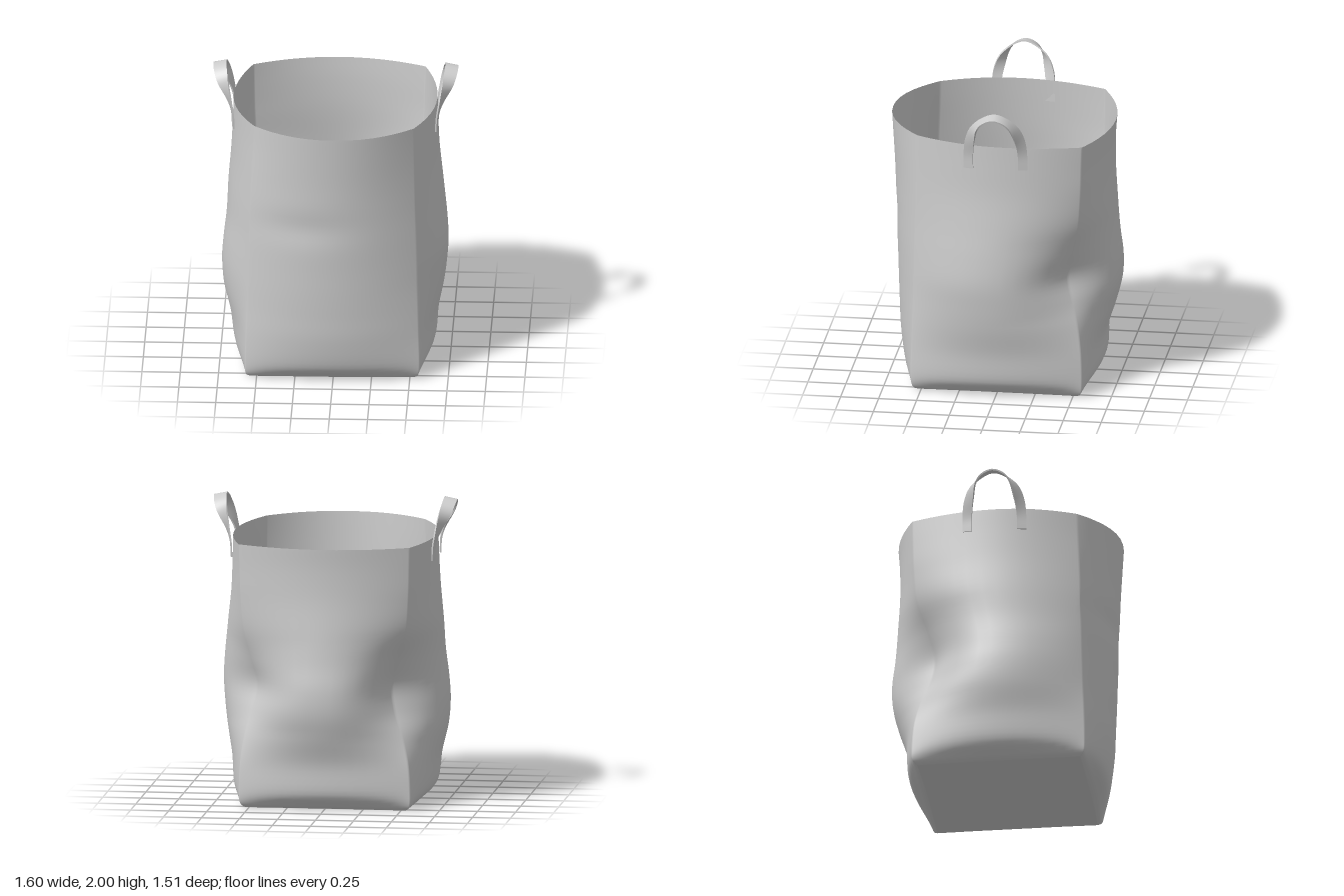
import * as THREE from 'three';
import { toCreasedNormals } from 'three/addons/utils/BufferGeometryUtils.js';

const fabric = new THREE.MeshStandardMaterial({ color: 0xcccccc, side: THREE.DoubleSide });

// Cross-sections, bottom to top: height, distance of the middle of each wall
// (right x, left x, front z, back z) and of each corner
// (+x+z, +x-z, -x-z, -x+z) from the centre. Both back corners are dented.
const SECTIONS = [
  [0.0, 0.52, 0.54, 0.54, 0.52, 0.525, 0.525, 0.53, 0.54],
  [0.03, 0.575, 0.59, 0.59, 0.57, 0.555, 0.555, 0.56, 0.57],
  [0.11, 0.65, 0.66, 0.66, 0.64, 0.565, 0.563, 0.565, 0.575],
  [0.3, 0.67, 0.69, 0.695, 0.655, 0.56, 0.555, 0.55, 0.57],
  [0.48, 0.705, 0.732, 0.705, 0.71, 0.555, 0.53, 0.505, 0.562],
  [0.64, 0.725, 0.743, 0.712, 0.75, 0.55, 0.49, 0.448, 0.557],
  [0.8, 0.735, 0.732, 0.717, 0.755, 0.547, 0.455, 0.425, 0.552],
  [0.98, 0.723, 0.712, 0.724, 0.733, 0.543, 0.492, 0.468, 0.547],
  [1.18, 0.7, 0.703, 0.73, 0.716, 0.537, 0.535, 0.532, 0.542],
  [1.4, 0.675, 0.685, 0.737, 0.7, 0.532, 0.552, 0.552, 0.532],
  [1.6, 0.665, 0.675, 0.748, 0.7, 0.528, 0.558, 0.558, 0.522],
  [1.75, 0.66, 0.67, 0.757, 0.71, 0.525, 0.563, 0.56, 0.517],
];

// Smooth interpolation between neighbouring sections
function sectionAt(s) {
  const last = SECTIONS.length - 1;
  const i = Math.min(Math.floor(s), last - 1), t = s - i;
  const at = (k) => SECTIONS[Math.max(0, Math.min(last, k))];
  return SECTIONS[0].map((_, c) => {
    const [a, b, d, e] = [at(i - 1)[c], at(i)[c], at(i + 1)[c], at(i + 2)[c]];
    return b + 0.5 * t * (d - a + t * (2 * a - 5 * b + 4 * d - e + t * (3 * (b - d) + e - a)));
  });
}

// One closed ring: each wall falls from its middle to the corner at either end,
// more abruptly where the corner is dented
function ring([y, right, left, front, back, fr, br, bl, fl]) {
  const corners = [fr, br, bl, fl];
  const walls = [[1, 0, right], [0, -1, back], [-1, 0, left], [0, 1, front]];
  const perWall = 18, points = [];
  walls.forEach(([nx, nz, middle], w) => {
    const a = corners[w], b = corners[(w + 1) % 4];
    for (let k = 0; k < perWall; k++) {
      const u = -Math.cos((Math.PI * k) / perWall); // denser at corners
      const depth = middle - (u < 0 ? a : b);
      const out = middle - depth * Math.abs(u) ** (2 + 5 * Math.max(0, depth - 0.2));
      const along = THREE.MathUtils.lerp(-a, b, (u + 1) / 2);
      const x = nx * out + nz * along;
      let z = nz * out - nx * along;
      // shallow crumple in the front wall
      if (w === 3) z -= 0.014 * Math.exp(-(((x + 0.2) / 0.28) ** 2) - ((y - 1.1) / 0.1) ** 2);
      // the rim falls slightly towards the back
      points.push([x, y + 0.016 * z * (y / 1.75) ** 4, z]);
    }
  });
  return points;
}

// Joins equal rows of points into a surface; the points of each row form a loop
function skin(rows) {
  const n = rows[0].length, index = [];
  for (let j = 0; j < rows.length - 1; j++) {
    for (let i = 0; i < n; i++) {
      const a = j * n + i, b = j * n + ((i + 1) % n);
      index.push(a, b, b + n, a, b + n, a + n);
    }
  }
  const geometry = new THREE.BufferGeometry();
  geometry.setAttribute('position', new THREE.Float32BufferAttribute(rows.flat(2), 3));
  geometry.setIndex(index);
  geometry.computeVertexNormals();
  return geometry;
}

function makeBag() {
  const base = ring(SECTIONS[0]);
  // floor, from the centre outwards, then the walls
  const rows = [0, 0.5, 0.97].map((s) => base.map(([x, y, z]) => [x * s, y, z * s]));
  const steps = (SECTIONS.length - 1) * 5;
  for (let j = 0; j <= steps; j++) rows.push(ring(sectionAt(j / 5)));
  const mesh = new THREE.Mesh(skin(rows), fabric);
  mesh.name = 'bagBody';
  return mesh;
}

// Flat strap: lies against the wall at its feet and twists to level at the top
function makeHandle(side, name) {
  const leg = [
    [0.662, 1.6, 0.178], [0.667, 1.7, 0.178], [0.692, 1.8, 0.166],
    [0.73, 1.9, 0.128], [0.749, 1.96, 0.07],
  ];
  const path = new THREE.CatmullRomCurve3([
    ...leg.map((p) => new THREE.Vector3(...p)),
    new THREE.Vector3(0.755, 1.984, 0),
    ...leg.map(([x, y, z]) => new THREE.Vector3(x, y, -z)).reverse(),
  ]);
  const rows = [], steps = 48;
  for (let j = 0; j <= steps; j++) {
    const t = j / steps, p = path.getPoint(t), tangent = path.getTangent(t);
    const fromTop = Math.abs(2 * t - 1);
    const twist = THREE.MathUtils.smoothstep(fromTop, 0.1, 0.85);
    const foot = new THREE.Vector3(0.17, 0, t > 0.5 ? 1 : -1);
    const across = new THREE.Vector3(1, -0.2, 0).lerp(foot, twist);
    across.addScaledVector(tangent, -across.dot(tangent)).normalize();
    const normal = new THREE.Vector3().crossVectors(tangent, across).normalize();
    const w = THREE.MathUtils.lerp(0.043, 0.031, twist), h = 0.005;
    rows.push([[-w, -h], [w, -h], [w, h], [-w, h]].map(([u, v]) => {
      const q = p.clone().addScaledVector(across, u).addScaledVector(normal, v);
      return [side * q.x + (side < 0 ? -0.004 : 0), q.y, q.z - 0.008];
    }));
  }
  // end caps
  const cap = (row) => row.map(() => [0, 1, 2].map((c) => row.reduce((s, p) => s + p[c] / 4, 0)));
  rows.unshift(cap(rows[0]));
  rows.push(cap(rows[rows.length - 1]));
  if (side < 0) rows.forEach((row) => row.reverse());
  const mesh = new THREE.Mesh(toCreasedNormals(skin(rows), 0.9), fabric);
  mesh.name = name;
  return mesh;
}

export function createModel() {
  const group = new THREE.Group();
  group.name = 'fabricBasket';
  group.add(makeBag(), makeHandle(1, 'leftHandle'), makeHandle(-1, 'rightHandle'));
  return group;
}
